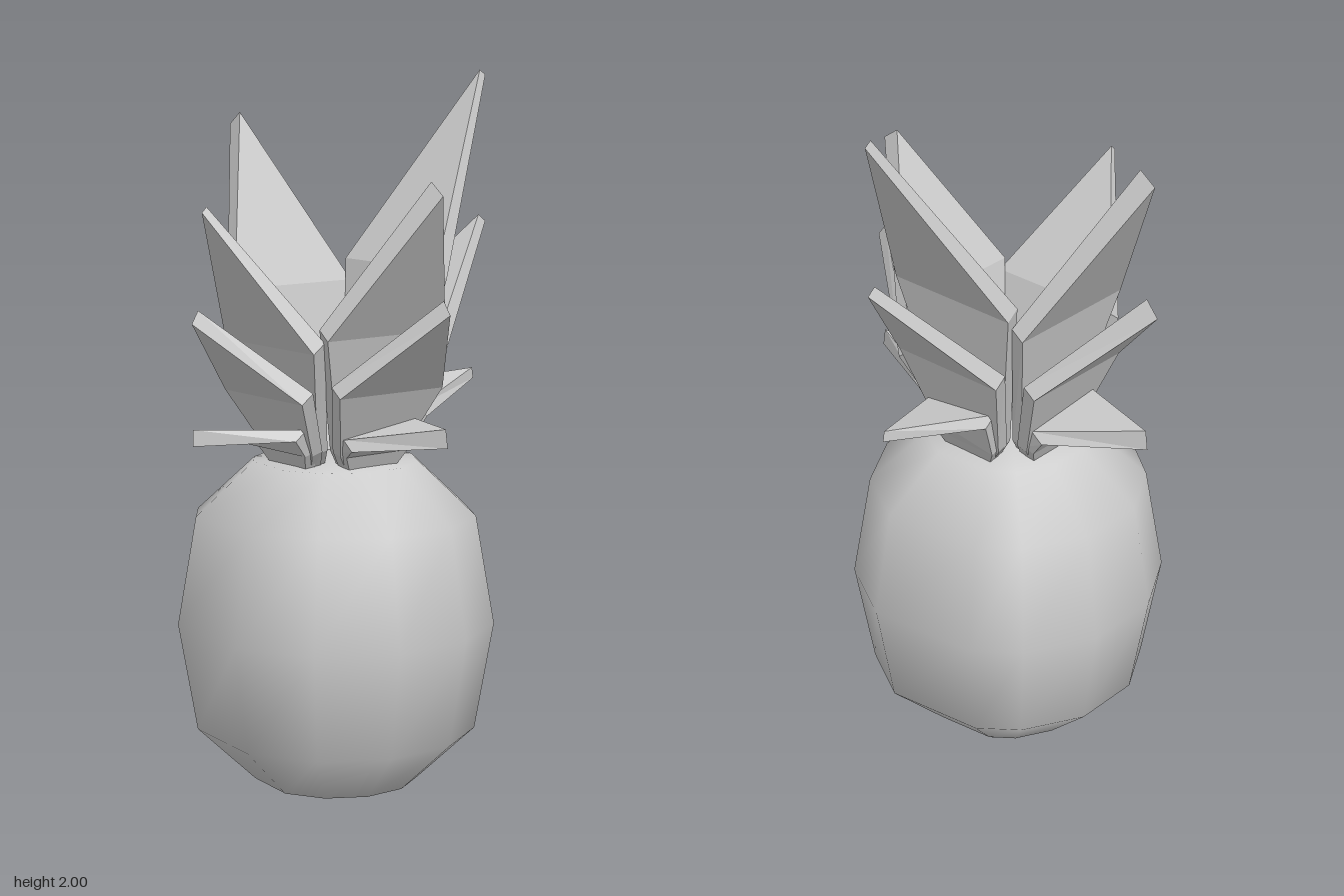
import * as THREE from 'three';

const CX = 0.012, CZ = 0.03; // vertical axis of the fruit

// Smooth faceted fruit: rings of twelve points closed by two poles
function fruitGeometry() {
  const rings = [[0.228, 0.05], [0.388, 0.2], [0.44, 0.5], [0.388, 0.8], [0.228, 0.95]];
  const half = [15, 45, 75, 118, 137, 165];
  const angles = [...half, ...half.map(a => 360 - a).reverse()];
  const n = angles.length;
  const pos = [], index = [];
  for (const [r, y] of rings) {
    for (const a of angles) {
      const t = THREE.MathUtils.degToRad(a);
      pos.push(r * Math.cos(t), y, r * Math.sin(t));
    }
  }
  const bottom = rings.length * n, top = bottom + 1;
  pos.push(0, 0, 0.05, 0, 0.965, 0);
  for (let i = 0; i < n; i++) {
    const j = (i + 1) % n;
    index.push(bottom, i, j);
    for (let k = 0; k < rings.length - 1; k++) {
      const a = k * n + i, b = k * n + j;
      index.push(a, a + n, b, b, a + n, b + n);
    }
    const last = (rings.length - 1) * n;
    index.push(top, last + j, last + i);
  }
  const g = new THREE.BufferGeometry();
  g.setAttribute('position', new THREE.Float32BufferAttribute(pos, 3));
  g.setIndex(index);
  g.computeVertexNormals();
  return g;
}

// Thick kite-shaped leaf leaning towards +z, through base, neck, bend and tip.
// Each section is [radius, height]; roll lifts one side edge of the bend.
function leafGeometry(inner, outer, widths, roll) {
  const outline = sections => {
    const [base, neck, bend, tip] = sections;
    const at = ([r, y], x, lift = 0) => [x, y + lift, r];
    return [
      at(base, widths[0]), at(base, -widths[0]), at(neck, -widths[1]), at(bend, -widths[2], -roll),
      at(tip, 0), at(bend, widths[2], roll), at(neck, widths[1]),
    ];
  };
  const p = outline(inner), q = outline(outer);
  const pos = [];
  const tri = (a, b, c) => pos.push(...a, ...b, ...c);
  for (const [a, b, c] of [[0, 1, 2], [0, 2, 6], [6, 2, 3], [6, 3, 5], [3, 4, 5]]) {
    tri(p[a], p[b], p[c]);
    tri(q[a], q[c], q[b]);
  }
  for (let i = 0; i < p.length; i++) {
    const j = (i + 1) % p.length;
    tri(p[i], q[i], q[j]);
    tri(p[i], q[j], p[j]);
  }
  const g = new THREE.BufferGeometry();
  g.setAttribute('position', new THREE.Float32BufferAttribute(pos, 3));
  g.computeVertexNormals();
  return g;
}

export function createModel() {
  const model = new THREE.Group();
  model.name = 'pineapple';
  const grey = new THREE.MeshStandardMaterial({ color: 0xcccccc });
  grey.name = 'light grey';

  const fruit = new THREE.Mesh(fruitGeometry(), grey);
  fruit.name = 'fruit';
  fruit.position.set(CX, 0, CZ);
  model.add(fruit);

  // Inner and outer tips of the upper, middle and lower leaf on each side
  const sides = [
    { name: 'front', turn: 0, tips: [[[0.425, 1.665], [0.44, 1.65]], [[0.455, 1.395], [0.475, 1.36]], [[0.475, 1.08], [0.475, 1.035]]] },
    { name: 'left', turn: 0.5, tips: [[[0.405, 1.735], [0.453, 1.7]], [[0.458, 1.43], [0.485, 1.395]], [[0.47, 1.095], [0.478, 1.045]]] },
    { name: 'back', turn: 1, tips: [[[0.51, 2.0], [0.53, 1.985]], [[0.51, 1.595], [0.535, 1.575]], [[0.49, 1.16], [0.495, 1.13]]] },
    { name: 'right', turn: 1.5, tips: [[[0.442, 1.88], [0.49, 1.845]], [[0.475, 1.525], [0.512, 1.48]], [[0.485, 1.135], [0.492, 1.08]]] },
  ];
  const tiers = [
    { name: 'Upper', base: 0.08, neck: 0.105, bend: 0.19, rise: 0.5, widths: [0.05, 0.1, 0.2], roll: 0 },
    { name: 'Middle', base: 0.1, neck: 0.13, bend: 0.21, rise: 0.5, widths: [0.06, 0.11, 0.175], roll: 0 },
    { name: 'Lower', base: 0.125, neck: 0.15, bend: 0.19, rise: 0.75, widths: [0.07, 0.105, 0.12], roll: 0.018 },
  ];

  const crown = new THREE.Group();
  crown.name = 'crown';
  crown.position.set(CX, 0, CZ);
  model.add(crown);
  for (const side of sides) {
    tiers.forEach((tier, i) => {
      const [tipIn, tipOut] = side.tips[i];
      const bendY = 0.95 + tier.rise * (tipIn[1] - 0.95);
      const inner = [[tier.base, 0.935], [tier.neck, 1.0], [tier.bend, bendY], tipIn];
      const outer = [[tier.base + 0.032, 0.93], [tier.neck + 0.034, 0.99], [tier.bend + 0.036, bendY - 0.028], tipOut];
      const leaf = new THREE.Mesh(leafGeometry(inner, outer, tier.widths, tier.roll), grey);
      leaf.name = side.name + tier.name + 'Leaf';
      leaf.rotation.y = side.turn * Math.PI;
      crown.add(leaf);
    });
  }
  return model;
}
